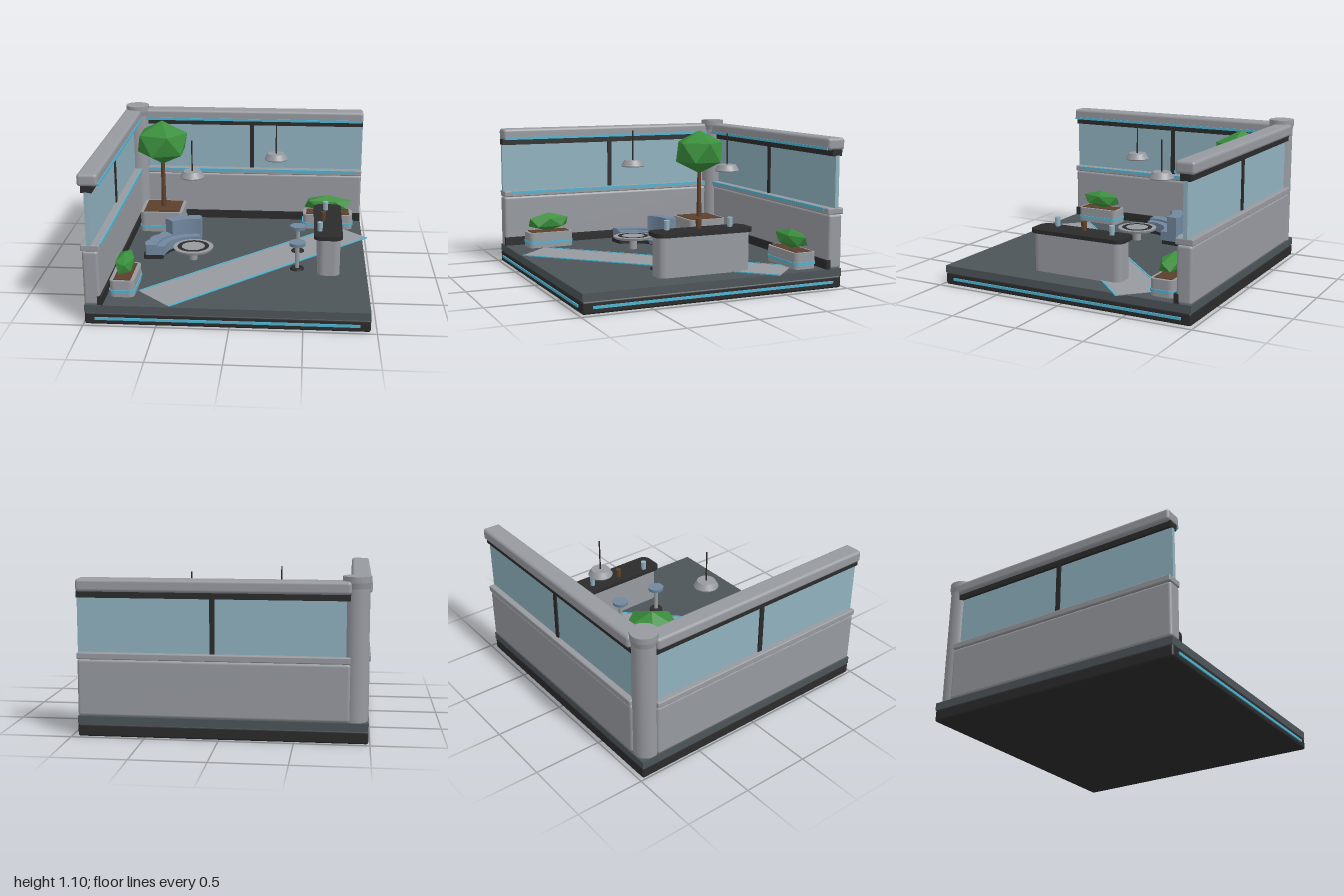
import * as THREE from 'three';
import { RoundedBoxGeometry } from 'three/addons/geometries/RoundedBoxGeometry.js';

const mat = (name, color) => {
  const m = new THREE.MeshStandardMaterial({ color });
  m.name = name;
  return m;
};
const M = {
  grey: mat('wall grey', 0x96999f),
  slate: mat('slate floor', 0x4c5458),
  dark: mat('dark trim', 0x2b2b2c),
  glass: mat('pale glass', 0x8fb1be),
  cyan: mat('cyan light', 0x4fb4d2),
  blue: mat('cushion blue', 0x71879e),
  green: mat('leaf green', 0x3a8f3c),
  brown: mat('soil brown', 0x5c402b),
};
M.green.flatShading = true;

const add = (parent, name, geo, material, x = 0, y = 0, z = 0) => {
  const m = new THREE.Mesh(geo, material);
  m.name = name;
  m.position.set(x, y, z);
  parent.add(m);
  return m;
};
const group = (parent, name, x = 0, y = 0, z = 0) => {
  const g = new THREE.Group();
  g.name = name;
  g.position.set(x, y, z);
  parent.add(g);
  return g;
};
// Box given by its minimum and maximum corners; r rounds the edges
const box = (parent, name, material, [x0, y0, z0], [x1, y1, z1], r = 0) => {
  const s = [x1 - x0, y1 - y0, z1 - z0];
  const geo = r ? new RoundedBoxGeometry(...s, 3, r) : new THREE.BoxGeometry(...s);
  return add(parent, name, geo, material, (x0 + x1) / 2, (y0 + y1) / 2, (z0 + z1) / 2);
};
const cyl = (parent, name, material, rTop, rBottom, y0, y1, x = 0, z = 0) =>
  add(parent, name, new THREE.CylinderGeometry(rTop, rBottom, y1 - y0, 32), material, x, (y0 + y1) / 2, z);
// Extrudes a plan shape upward from y0 to y1
const extrudeUp = (parent, name, material, shape, y0, y1) => {
  const geo = new THREE.ExtrudeGeometry(shape, { depth: y1 - y0, bevelEnabled: false, curveSegments: 10 });
  geo.rotateX(-Math.PI / 2);
  return add(parent, name, geo, material, 0, y0, 0);
};
// Slab with rounded corners in plan
const slab = (parent, name, material, w, d, r, y0, y1) => {
  const s = new THREE.Shape(), a = w / 2, b = d / 2, q = Math.PI / 2;
  s.absarc(a - r, b - r, r, 0, q);
  s.absarc(-a + r, b - r, r, q, 2 * q);
  s.absarc(-a + r, -b + r, r, 2 * q, 3 * q);
  s.absarc(a - r, -b + r, r, 3 * q, 4 * q);
  s.closePath();
  return extrudeUp(parent, name, material, s, y0, y1);
};
// Curved bench section; the outer edge swells once per cushion
const sector = (parent, name, material, r0, r1, deg0, deg1, y0, y1, bump = 0.015) => {
  const pts = [], n = 50;
  const at = (r, i) => {
    const a = THREE.MathUtils.degToRad(deg0 + (deg1 - deg0) * i / n);
    return new THREE.Vector2(r * Math.cos(a), r * Math.sin(a));
  };
  for (let i = 0; i <= n; i++) {
    const d = deg0 + (deg1 - deg0) * i / n;
    pts.push(at(r1 - bump + bump * Math.abs(Math.sin((d - 85) / 20 * Math.PI)), i));
  }
  for (let i = n; i >= 0; i--) pts.push(at(r0, i));
  return extrudeUp(parent, name, material, new THREE.Shape(pts), y0, y1);
};
// Faceted foliage with a point at the top
const foliage = (parent, name, sx, sy, sz, y) => {
  const geo = new THREE.IcosahedronGeometry(1, 0);
  geo.rotateX(-1.0172).rotateY(Math.PI / 2).scale(sx, sy, sz);
  geo.computeVertexNormals();
  return add(parent, name, geo, M.green, 0, y, 0);
};

// Wall along local x, outer face at z = 0, inner side towards +z
function wall(parent, name) {
  const g = group(parent, name), a = 0.91;
  box(g, 'lowerPanel', M.grey, [-a, 0.14, 0.01], [a, 0.53, 0.12], 0.02);
  box(g, 'baseboard', M.dark, [-a, 0.14, 0.1], [a, 0.205, 0.135]);
  box(g, 'rail', M.grey, [-a, 0.53, 0.002], [a, 0.575, 0.13], 0.008);
  box(g, 'railLight', M.cyan, [-a + 0.05, 0.553, 0.127], [a - 0.05, 0.573, 0.136]);
  box(g, 'glass', M.glass, [-a, 0.57, 0.045], [a, 0.945, 0.075]);
  box(g, 'mullion', M.dark, [-0.017, 0.57, 0.035], [0.017, 0.945, 0.085]);
  box(g, 'header', M.dark, [-a, 0.942, 0.025], [a, 0.988, 0.1]);
  box(g, 'topBeam', M.grey, [-a, 0.983, 0], [a, 1.07, 0.138], 0.022);
  box(g, 'beamLight', M.cyan, [-a + 0.01, 0.985, 0.136], [a - 0.01, 1.004, 0.145]);
  return g;
}

function planter(parent, name, x, z, w, d, top) {
  const g = group(parent, name, x, 0, z);
  slab(g, 'planterBody', M.grey, w - 0.012, d - 0.012, 0.04, 0.14, top);
  slab(g, 'planterLight', M.cyan, w, d, 0.045, 0.172, 0.19);
  box(g, 'soil', M.brown, [-w / 2 + 0.033, top - 0.01, -d / 2 + 0.03], [w / 2 - 0.033, top + 0.004, d / 2 - 0.03]);
  return g;
}

export function createModel() {
  const root = new THREE.Group();
  root.name = 'loungeRoom';

  // Platform and edge lights
  box(root, 'plinth', M.dark, [-0.99, 0, -0.975], [0.957, 0.088, 0.977], 0.015);
  box(root, 'floor', M.slate, [-0.99, 0.085, -0.975], [0.957, 0.14, 0.975]);
  box(root, 'frontEdgeLight', M.cyan, [-0.92, 0.036, 0.976], [0.885, 0.055, 0.985]);
  box(root, 'sideEdgeLight', M.cyan, [0.956, 0.036, -0.905], [0.965, 0.055, 0.905]);

  // Two walls and the corner column
  wall(root, 'backWall').position.set(0.045, 0, -0.985);
  const left = wall(root, 'leftWall');
  left.rotation.y = Math.PI / 2;
  left.position.set(-1, 0, 0.06);
  const column = group(root, 'cornerColumn', -0.9, 0, -0.885);
  cyl(column, 'columnShaft', M.grey, 0.085, 0.085, 0.14, 1.04);
  cyl(column, 'columnCap', M.grey, 0.094, 0.085, 1.02, 1.06);
  cyl(column, 'columnTop', M.grey, 0.094, 0.094, 1.06, 1.1);

  // Diagonal walkway with lit edges
  const path = group(root, 'walkway', 0.17, 0, 0.135);
  path.rotation.y = Math.PI / 4;
  box(path, 'walkwaySurface', M.grey, [-0.997, 0.138, -0.172], [0.997, 0.144, 0.172]);
  for (const s of [-1, 1]) {
    box(path, 'walkwayLight', M.cyan, [-0.997, 0.139, s * 0.17 - 0.006], [0.997, 0.147, s * 0.17 + 0.006]);
  }

  // Planters with a tree and two bushes
  const corner = planter(root, 'treePlanter', -0.667, -0.647, 0.355, 0.345, 0.302);
  cyl(corner, 'trunk', M.brown, 0.014, 0.021, 0.29, 0.75);
  foliage(corner, 'treeCrown', 0.228, 0.18, 0.218, 0.85);
  const side = planter(root, 'sidePlanter', -0.757, 0.65, 0.185, 0.37, 0.258);
  foliage(side, 'sideBush', 0.073, 0.074, 0.183, 0.332);
  const back = planter(root, 'backPlanter', 0.682, -0.725, 0.415, 0.19, 0.258);
  foliage(back, 'backBush', 0.212, 0.07, 0.077, 0.332);

  // Bar counter with cups
  const bar = group(root, 'barCounter', 0.67, 0, 0);
  slab(bar, 'counterBody', M.grey, 0.165, 0.7, 0.05, 0.14, 0.42).position.x = 0.007;
  slab(bar, 'counterTop', M.dark, 0.21, 0.74, 0.06, 0.418, 0.446);
  [[-0.015, -0.235, M.glass], [-0.035, 0, M.brown], [-0.06, 0.232, M.glass]].forEach(([x, z, m]) =>
    cyl(bar, 'cup', m, 0.021, 0.018, 0.445, 0.512, x, z));

  // Bar stools
  for (const z of [-0.12, 0.232]) {
    const stool = group(root, 'barStool', 0.447, 0, z);
    cyl(stool, 'stoolBase', M.dark, 0.048, 0.052, 0.14, 0.153);
    cyl(stool, 'stoolStem', M.grey, 0.016, 0.016, 0.15, 0.33);
    cyl(stool, 'stoolSeat', M.blue, 0.061, 0.058, 0.327, 0.353);
  }

  // Curved sofa around a round table
  const lounge = group(root, 'lounge', -0.34, 0, 0.09);
  sector(lounge, 'sofaBase', M.dark, 0.23, 0.385, 85, 185, 0.14, 0.172);
  sector(lounge, 'sofaSeat', M.blue, 0.215, 0.372, 85, 185, 0.17, 0.24);
  sector(lounge, 'sofaLowBack', M.blue, 0.275, 0.372, 132, 185, 0.239, 0.255);
  sector(lounge, 'sofaBack', M.blue, 0.275, 0.372, 85, 132, 0.239, 0.363);
  cyl(lounge, 'tableStem', M.grey, 0.03, 0.03, 0.14, 0.23);
  cyl(lounge, 'tableTop', M.grey, 0.152, 0.145, 0.225, 0.243);
  const ring = add(lounge, 'tableRing', new THREE.RingGeometry(0.088, 0.12, 40), M.dark, 0, 0.245, 0);
  ring.rotation.x = -Math.PI / 2;

  // Pendant lamps
  for (const [x, z] of [[-0.34, 0.09], [0.262, -0.418]]) {
    const lamp = group(root, 'pendantLamp', x, 0, z);
    cyl(lamp, 'lampCord', M.dark, 0.005, 0.005, 0.83, 1.07);
    cyl(lamp, 'lampShade', M.grey, 0.066, 0.09, 0.798, 0.84);
    cyl(lamp, 'lampRim', M.grey, 0.09, 0.086, 0.79, 0.798);
  }
  return root;
}
